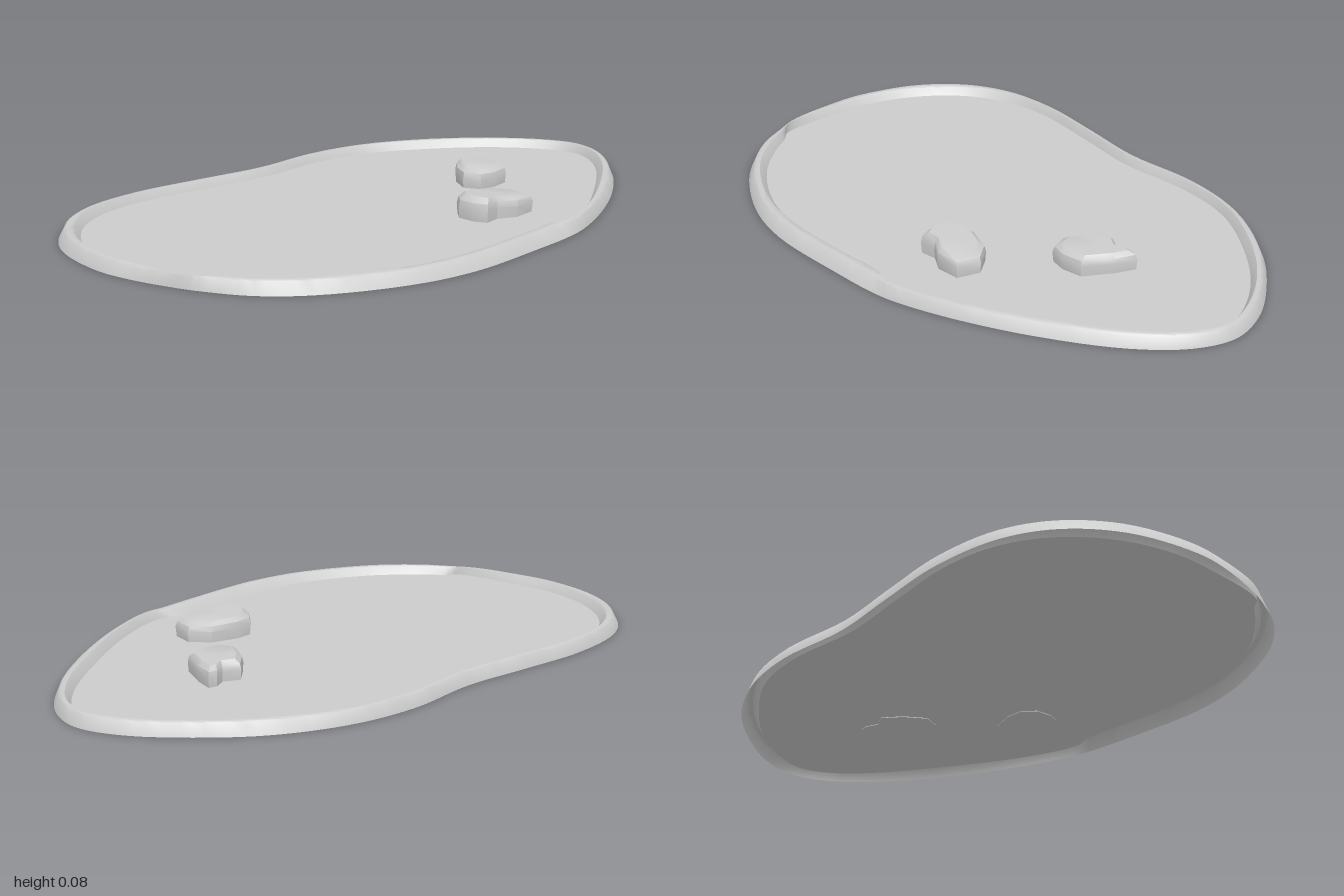
import * as THREE from 'three';
import { toCreasedNormals } from 'three/addons/utils/BufferGeometryUtils.js';

// Outlines run left, back, right, front as [x, z]; both basin outlines pair up point by point.
const OUTER = [
  [-1, -.13], [-.96, -.35], [-.86, -.5], [-.72, -.585], [-.5, -.62], [-.26, -.605], [-.02, -.585],
  [.24, -.607], [.46, -.575], [.67, -.48], [.83, -.345], [.95, -.195], [.995, -.065], [.965, .06],
  [.86, .2], [.65, .365], [.43, .49], [.26, .56], [.17, .58], [.03, .595], [-.27, .612],
  [-.48, .572], [-.72, .455], [-.84, .345], [-.91, .225], [-.945, .14], [-.985, 0],
];
const INNER = [
  [-.945, -.16], [-.9, -.33], [-.8, -.47], [-.665, -.553], [-.495, -.583], [-.26, -.567], [-.02, -.545],
  [.24, -.568], [.44, -.54], [.64, -.435], [.805, -.305], [.91, -.17], [.952, -.065], [.93, .03],
  [.83, .155], [.615, .32], [.38, .465], [.2, .53], [.12, .51], [-.02, .525], [-.26, .54],
  [-.46, .515], [-.67, .42], [-.8, .31], [-.865, .235], [-.905, .2], [-.94, 0],
];

// Skin stacked rings of points, optionally closing the last one with a fan.
function loft(rings, cap) {
  const n = rings[0].length, pos = [], index = [];
  rings.forEach(ring => ring.forEach(p => pos.push(p.x, p.y, p.z)));
  for (let i = 0; i < rings.length - 1; i++) {
    for (let j = 0; j < n; j++) {
      const k = (j + 1) % n, a = i * n, d = a + n;
      index.push(a + j, d + j, d + k, a + j, d + k, a + k);
    }
  }
  if (cap) {
    const last = rings[rings.length - 1], base = n * (rings.length - 1);
    const c = last.reduce((s, p) => s.add(p), new THREE.Vector3()).divideScalar(n);
    pos.push(c.x, c.y, c.z);
    for (let j = 0; j < n; j++) index.push(n * rings.length, base + (j + 1) % n, base + j);
  }
  const g = new THREE.BufferGeometry();
  g.setAttribute('position', new THREE.Float32BufferAttribute(pos, 3));
  g.setIndex(index);
  g.computeVertexNormals();
  return g;
}

function smoothLoop(points, samples) {
  const curve = new THREE.CatmullRomCurve3(points.map(([x, z]) => new THREE.Vector3(x, 0, z)), true);
  return Array.from({ length: samples }, (_, i) => curve.getPoint(i / samples));
}

function part(name, geometry, options = {}) {
  const mesh = new THREE.Mesh(geometry, new THREE.MeshStandardMaterial({ color: 0xcccccc, ...options }));
  mesh.name = name;
  return mesh;
}

// Chunky stone: steep faceted sides, a bevel and a gently tilted top.
function stone(name, outline, height, tilt) {
  const cx = outline.reduce((s, p) => s + p[0], 0) / outline.length;
  const cz = outline.reduce((s, p) => s + p[1], 0) / outline.length;
  const profile = [[.97, .01, 0], [1, height * .58, 0], [.95, height * .82, .6], [.76, height, 1]];
  const rings = profile.map(([s, y, lean]) => outline.map(([x, z]) => new THREE.Vector3(
    cx + (x - cx) * s, y - (x - cx) * tilt * lean, cz + (z - cz) * s)));
  return part(name, toCreasedNormals(loft(rings, true), .6));
}

export function createModel() {
  const group = new THREE.Group();
  group.name = 'pond';
  const samples = 162, floorY = .012;
  const outer = smoothLoop(OUTER, samples), inner = smoothLoop(INNER, samples);

  // Raised rim, hollow underneath: [fraction from outer to inner outline, height]
  const rings = [[0, 0], [.3, .037], [.4, .04], [.64, .04], [.72, .036], [1, floorY]].map(([t, y]) =>
    outer.map((p, i) => p.clone().lerp(inner[i], t).setY(y)));
  group.add(part('rim', toCreasedNormals(loft(rings, false), .7), { side: THREE.DoubleSide }));

  // Flat basin surface
  const floor = inner.map(p => p.clone().setY(floorY));
  group.add(part('basinFloor', loft([floor], true), { side: THREE.DoubleSide }));

  // Two stones
  group.add(stone('frontStone', [
    [.065, .24], [.1, .2], [.16, .195], [.245, .22], [.295, .275], [.28, .35],
    [.2, .36], [.14, .33], [.085, .34], [.065, .3],
  ], .079, .06));
  group.add(stone('sideStone', [
    [.335, .01], [.375, -.06], [.43, -.11], [.48, -.085], [.52, -.105], [.548, -.1],
    [.53, -.035], [.515, -.005], [.485, .06], [.415, .075], [.36, .065],
  ], .073, .02));
  return group;
}
